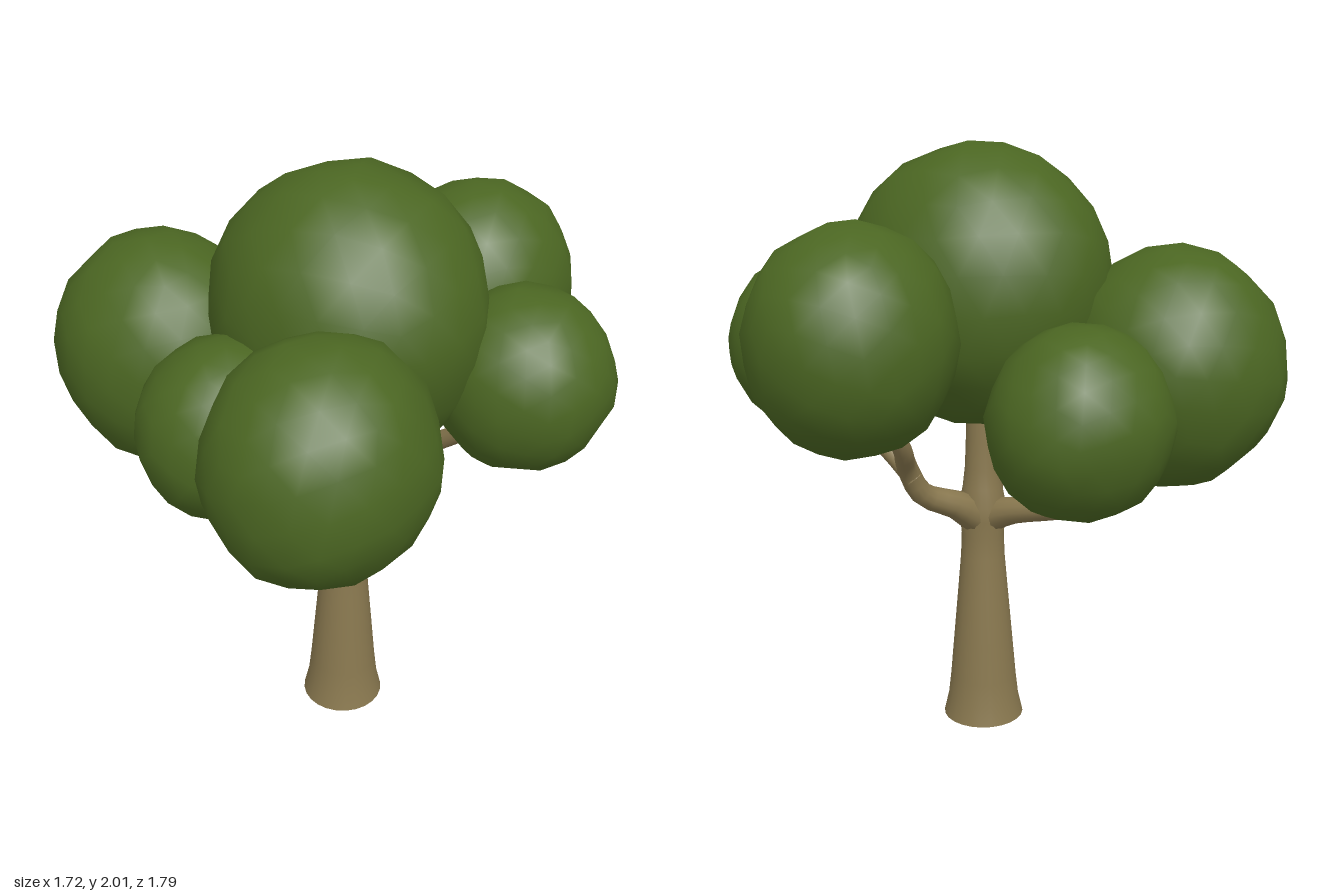
import * as THREE from 'three';
import { mergeVertices } from 'three/addons/utils/BufferGeometryUtils.js';

const bark = new THREE.MeshStandardMaterial({ color: 0x89784f, side: THREE.DoubleSide });
bark.name = 'bark';
const leaf = new THREE.MeshStandardMaterial({ color: 0x4b6622 });
leaf.name = 'leaf green';

// small seeded random generator
function seeded(seed) {
  let s = seed;
  return () => (s = (s * 16807) % 2147483647) / 2147483647;
}

// slightly lumpy ball of leaves with smooth normals
function foliage(name, [x, y, z], [rx, ry, rz], seed) {
  let g = new THREE.IcosahedronGeometry(1, 3);
  g.deleteAttribute('uv');
  g.deleteAttribute('normal');
  g = mergeVertices(g, 1e-3);
  const rand = seeded(seed * 7919 + 13);
  const p = g.attributes.position;
  const v = new THREE.Vector3();
  for (let i = 0; i < p.count; i++) {
    v.fromBufferAttribute(p, i).multiplyScalar(0.975 + rand() * 0.045);
    p.setXYZ(i, v.x, v.y, v.z);
  }
  g.rotateY(seed * 1.3);
  g.rotateX(seed * 0.7);
  g.scale(rx, ry, rz);
  g.computeVertexNormals();
  const m = new THREE.Mesh(g, leaf);
  m.name = name;
  m.position.set(x, y, z);
  return m;
}

// tube along a smooth curve, its radius following the given list
function limb(name, points, radii, sides = 12, steps = 16) {
  const curve = new THREE.CatmullRomCurve3(points.map((p) => new THREE.Vector3(...p)));
  const g = new THREE.TubeGeometry(curve, steps, 1, sides, false);
  const p = g.attributes.position;
  const c = new THREE.Vector3();
  const v = new THREE.Vector3();
  for (let i = 0; i <= steps; i++) {
    curve.getPointAt(i / steps, c);
    const f = (i / steps) * (radii.length - 1);
    const k = Math.min(Math.floor(f), radii.length - 2);
    const r = THREE.MathUtils.lerp(radii[k], radii[k + 1], f - k);
    for (let j = 0; j <= sides; j++) {
      const n = i * (sides + 1) + j;
      v.fromBufferAttribute(p, n).sub(c).multiplyScalar(r).add(c);
      p.setXYZ(n, v.x, v.y, v.z);
    }
  }
  const m = new THREE.Mesh(g, bark);
  m.name = name;
  return m;
}

export function createModel() {
  const tree = new THREE.Group();
  tree.name = 'tree';

  // trunk, open at the base, flaring at the root and at the branch collar
  const profile = [
    [0.14, 0], [0.124, 0.07], [0.115, 0.15], [0.102, 0.3], [0.088, 0.46], [0.076, 0.6],
    [0.073, 0.68], [0.079, 0.74], [0.08, 0.79], [0.068, 0.85], [0.06, 0.92], [0.056, 1.02], [0.052, 1.2],
  ].map(([r, y]) => new THREE.Vector2(r, y));
  const trunk = new THREE.Mesh(new THREE.LatheGeometry(profile, 24), bark);
  trunk.name = 'trunk';
  trunk.position.set(0.098, 0, 0.018);
  tree.add(trunk);

  // main branches and their forks
  const branches = new THREE.Group();
  branches.name = 'branches';
  branches.add(
    limb('sideBranch', [[0.11, 0.73, 0.02], [0, 0.775, 0.02], [-0.2, 0.82, 0.015], [-0.33, 0.875, -0.03], [-0.42, 0.97, -0.14], [-0.43, 1.1, -0.18]],
      [0.065, 0.045, 0.036, 0.032, 0.026, 0.022]),
    limb('sideBranchFork', [[-0.27, 0.845, 0], [-0.36, 0.89, 0.06], [-0.45, 1.05, 0.16]], [0.032, 0.03, 0.024]),
    limb('frontBranch', [[0.1, 0.74, 0.02], [0.135, 0.81, 0.11], [0.2, 0.87, 0.23], [0.3, 1.0, 0.38], [0.4, 1.17, 0.48]],
      [0.07, 0.046, 0.038, 0.034, 0.026]),
    limb('frontBranchFork', [[0.19, 0.86, 0.21], [0.15, 0.94, 0.29], [0.07, 1.1, 0.4]], [0.032, 0.028, 0.022]),
    limb('backBranch', [[0.1, 0.74, 0.01], [0.14, 0.8, -0.08], [0.2, 0.86, -0.19], [0.21, 0.97, -0.26], [0.16, 1.06, -0.35], [0.15, 1.2, -0.45]],
      [0.07, 0.046, 0.038, 0.034, 0.03, 0.024]),
    limb('backBranchFork', [[0.2, 0.92, -0.235], [0.26, 0.99, -0.25], [0.38, 1.09, -0.25], [0.48, 1.25, -0.26]], [0.032, 0.032, 0.028, 0.024]),
  );
  tree.add(branches);

  // leaf clusters: name, centre, radii
  const crown = new THREE.Group();
  crown.name = 'crown';
  [
    ['topFoliage', [0.11, 1.54, 0.02], [0.45, 0.465, 0.415]],
    ['rightFrontFoliage', [-0.49, 1.3, 0.235], [0.375, 0.395, 0.355]],
    ['frontFoliage', [0.01, 1.285, 0.46], [0.275, 0.29, 0.285]],
    ['leftFrontFoliage', [0.445, 1.385, 0.54], [0.33, 0.37, 0.355]],
    ['leftBackFoliage', [0.57, 1.35, -0.27], [0.29, 0.295, 0.285]],
    ['backFoliage', [0.18, 1.45, -0.56], [0.325, 0.355, 0.335]],
    ['rightBackFoliage', [-0.41, 1.2, -0.21], [0.29, 0.305, 0.3]],
  ].forEach(([name, c, r], i) => crown.add(foliage(name, c, r, i + 1)));
  tree.add(crown);

  return tree;
}
